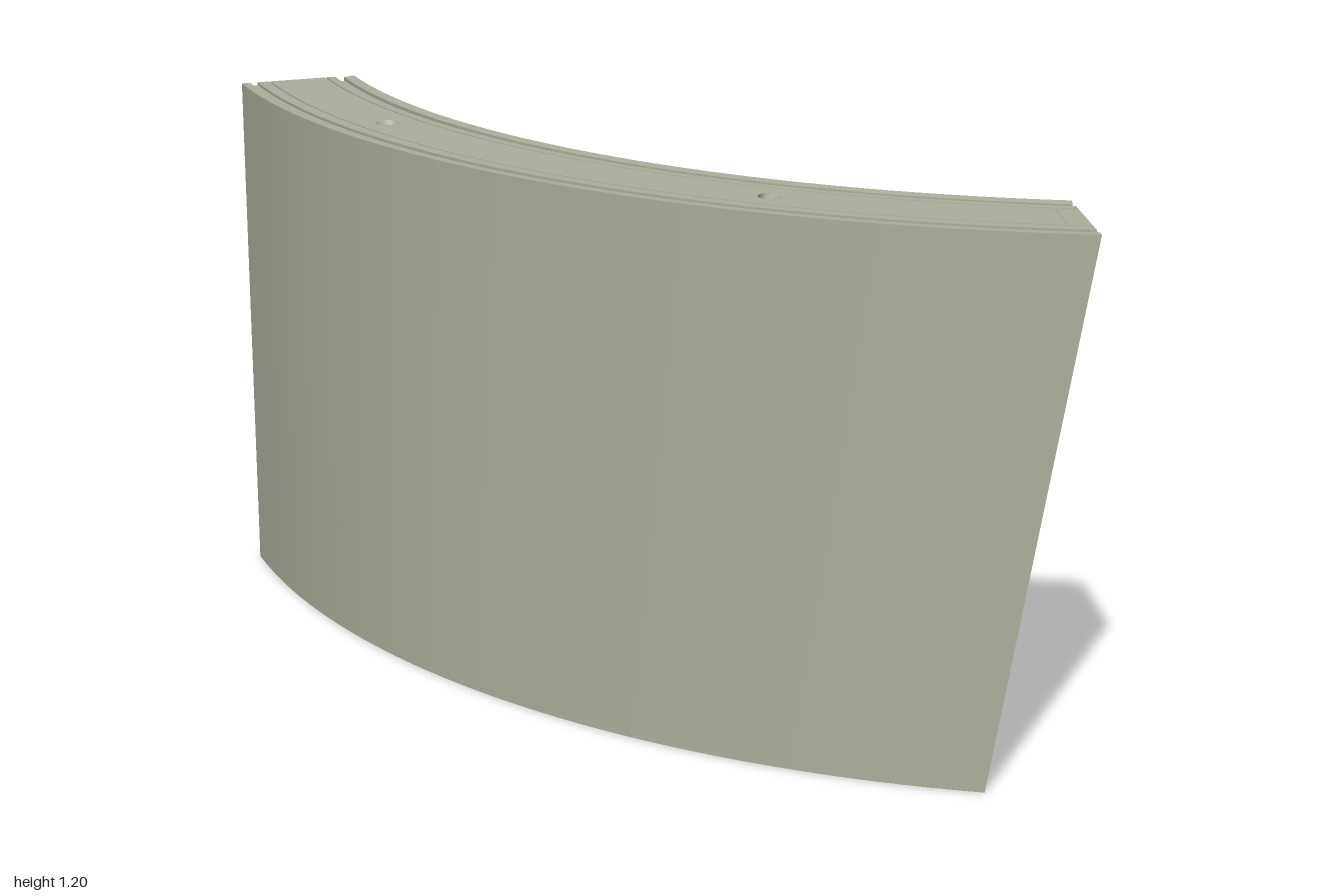
import * as THREE from 'three';
import { toCreasedNormals } from 'three/addons/utils/BufferGeometryUtils.js';

const R = 2.233, T = 0.275, H = 1.195, CX = 1.578, CZ = -1;
const lerp = THREE.MathUtils.lerp, rad = THREE.MathUtils.degToRad;

// End angle of the arc: the far end is slanted in height and skewed through the thickness
const endAngle = (y, w) => rad(lerp(
  lerp(58.46, 63.3, y / H), lerp(56.07, 61.72, y / H), w / T));

// Point at arc fraction u, height y, distance w in from the outer skin, shifted along the arc
function at(u, y, w, shift = 0) {
  const r = R - w, t = u * endAngle(y, w) + shift / r;
  return new THREE.Vector3(CX - r * Math.cos(t), y, CZ + r * Math.sin(t));
}

// Each face maps (a, b, depth into the concrete) to a point
const maps = {
  outerFace: (a, y, d) => at(a, y, d),
  innerFace: (a, y, d) => at(a, y, T - d),
  topFace: (a, w, d) => at(a, H - d, w, d * (1 - 2 * a)),
  bottomFace: (a, w, d) => at(a, d, w, d * (1 - 2 * a)),
  backEnd: (a, w, d) => at(0, d + a * (H - 2 * d), w, d),
  slantedEnd: (a, w, d) => at(1, d + a * (H - 2 * d), w, -d),
};

// Collects triangles of one face, turned so that they look out of the concrete
function builder(map) {
  const o = map(0.5, 0.1, 0.02), e = 0.001;
  const du = map(0.5 + e, 0.1, 0.02).sub(o), dv = map(0.5, 0.1 + e, 0.02).sub(o);
  const flip = du.cross(dv).dot(map(0.5, 0.1, 0.02 + e).sub(o)) > 0;
  const pos = [];
  const tri = (a, b, c, out = pos) => {
    for (const p of flip ? [a, c, b] : [a, b, c]) out.push(...map(...p).toArray());
  };
  const quad = (a, b, c, d) => { tri(a, b, c); tri(a, c, d); };
  return { pos, tri, quad };
}

const STEP = 1 / 50;
function stops(u0, u1) {
  const list = [u0];
  for (let i = Math.ceil(u0 / STEP); i * STEP < u1 - 1e-4; i++)
    if (i * STEP > u0 + 1e-4) list.push(i * STEP);
  return [...list, u1];
}

// Strip along the face between two (b, depth) lines
function strip(B, b0, d0, b1, d1, u0 = 0, u1 = 1) {
  const s = stops(u0, u1);
  for (let i = 0; i + 1 < s.length; i++)
    B.quad([s[i], b0, d0], [s[i + 1], b0, d0], [s[i + 1], b1, d1], [s[i], b1, d1]);
}

// Band of a face with sunken features; a feature is a stack of rings of (u, b, depth)
function band(B, b0, b1, features, plates) {
  const m = 0.005, spans = [];
  const ranges = features.map(f => {
    const us = f.rings[0].map(p => p[0]);
    return { lo: Math.min(...us) - m, hi: Math.max(...us) + m, fs: [f] };
  }).sort((p, q) => p.lo - q.lo);
  for (const r of ranges) {
    const last = spans[spans.length - 1];
    if (last && r.lo < last.hi + 1e-3) {
      last.hi = Math.max(last.hi, r.hi);
      last.fs.push(...r.fs);
    } else spans.push(r);
  }
  let cursor = 0;
  for (const { lo, hi, fs } of spans) {
    strip(B, b0, 0, b1, 0, cursor, lo);
    cursor = hi;
    const s = stops(lo, hi), V = (u, v) => new THREE.Vector2(u, v);
    const contour = [...s.map(u => V(u, b0)), ...s.slice().reverse().map(u => V(u, b1))];
    const holes = fs.map(f => f.rings[0].map(p => V(p[0], p[1])));
    const all = [...contour, ...holes.flat()];
    for (const t of THREE.ShapeUtils.triangulateShape(contour, holes)) {
      const q = t.map(i => all[i]);
      if (THREE.ShapeUtils.area(q) < 0) q.reverse();
      B.tri(...q.map(p => [p.x, p.y, 0]));
    }
    for (const f of fs) {
      const n = f.rings[0].length;
      for (let k = 0; k + 1 < f.rings.length; k++)
        for (let i = 0; i < n; i++) {
          const j = (i + 1) % n, A = f.rings[k], C = f.rings[k + 1];
          B.quad(A[i], A[j], C[j], C[i]);
        }
      const floor = f.rings[f.rings.length - 1];
      for (let i = 1; i + 1 < n; i++) B.tri(floor[0], floor[i], floor[i + 1], f.plate ? plates : B.pos);
    }
  }
  strip(B, b0, 0, b1, 0, cursor, 1);
}

// Round hole; levels are [scale, depth]
const disc = (u, v, ru, rv, levels, n = 16) => ({
  rings: levels.map(([s, d]) => Array.from({ length: n }, (_, i) => {
    const t = i / n * Math.PI * 2;
    return [u + Math.cos(t) * ru * s, v + Math.sin(t) * rv * s, d];
  })),
});
const rect = (u0, u1, v0, v1, d) => [[u0, v0, d], [u1, v0, d], [u1, v1, d], [u0, v1, d]];
const slot = (u0, u1, v0, v1, d) => ({ rings: [rect(u0, u1, v0, v1, 0), rect(u0, u1, v0, v1, d)] });

// Inner-face features, placed by z and y
const rIn = R - T;
const uAt = (z, y) => Math.asin((z - CZ) / rIn) / endAngle(y, T);
const innerHole = (z, y, r, levels) =>
  disc(uAt(z, y), y, r / rIn / endAngle(y, T), r, levels);
const small = (z, y) => innerHole(z, y, 0.02, [[1, 0], [0.6, 0.012], [0.6, 0.06]]);
const dot = (z, y, r = 0.009) => innerHole(z, y, r, [[1, 0], [1, 0.02]]);
const cone = (z, y) => innerHole(z, y, 0.052, [[1, 0], [0.55, 0.09], [0.55, 0.2]]);
function recess(z0, z1, y0, y1) {
  const f = slot(uAt(z0, y0), uAt(z1, y0), y0, y1, 0.028);
  return { ...f, plate: true };
}
// Wedge pocket: ramps from a shallow tip to a deep wall facing the nearest end
function wedge(tip, deep, y) {
  const t = uAt(tip, y), e = uAt(deep, y), h0 = 0.036, h1 = 0.052;
  const ring = (dt, de) => {
    const p = [[t, y - h0, dt], [e, y - h1, de], [e, y + h1, de], [t, y + h0, dt]];
    return t < e ? p : p.reverse();
  };
  return { rings: [ring(0, 0), ring(0.002, 0.1)] };
}

// Edge profile (distance from outer skin, depth) on both sides of the middle panel
const OUTER_EDGE = [[0, 0], [0.02, 0], [0.02, 0.006], [0.038, 0.006], [0.038, 0],
  [0.066, 0], [0.066, 0.005], [0.07, 0.005], [0.07, 0]];
const INNER_EDGE = [[0.203, 0], [0.203, 0.005], [0.207, 0.005], [0.207, 0], [0.228, 0],
  [0.228, 0.01], [0.25, 0.01], [0.25, 0.002], [0.275, 0]];

export function createModel() {
  const group = new THREE.Group();
  const concrete = new THREE.MeshStandardMaterial({ color: 0xacae9c });
  const grey = new THREE.MeshStandardMaterial({ color: 0xcccccc });
  const plates = [];
  const add = (name, pos, material) => {
    const g = new THREE.BufferGeometry();
    g.setAttribute('position', new THREE.Float32BufferAttribute(pos, 3));
    const mesh = new THREE.Mesh(toCreasedNormals(g, 0.5), material);
    mesh.name = name;
    group.add(mesh);
  };

  // Plain curved outer skin
  const outer = builder(maps.outerFace);
  strip(outer, 0, 0, H, 0);
  add('outerFace', outer.pos, concrete);

  // Inner face in three height bands with pockets, holes and recessed plates
  const inner = builder(maps.innerFace);
  band(inner, 0, 0.41, [small(0.38, 0.16), recess(0.465, 0.535, 0.14, 0.26),
    wedge(0.48, 0.6, 0.34), wedge(-0.66, -0.85, 0.3), dot(-0.02, 0.025, 0.006)], plates);
  band(inner, 0.41, 0.85, [cone(0.22, 0.6), cone(-0.28, 0.6), small(0.38, 0.72), small(0.38, 0.48),
    small(-0.48, 0.76), small(-0.48, 0.44), dot(0.56, 0.6), dot(-0.02, 0.6), dot(-0.745, 0.6)], plates);
  band(inner, 0.85, H, [small(0.38, 1.04), small(-0.02, 1.04), recess(-0.72, -0.6, 0.94, 1.06),
    wedge(0.55, 0.65, 0.93), ...[0.26, -0.02, -0.33].map(z => dot(z, 1.165, 0.006))], plates);
  add('innerFace', inner.pos, concrete);
  add('recessPlates', plates, grey);

  // Four edge faces: grooved margins around a panel with bolt holes
  const bolt = (u, length) => disc(u, 0.135, 0.026 / length, 0.026,
    [[1, 0], [0.65, 0.02], [0.65, 0.12]]);
  const guide = {
    rings: [[[0.71, 0.105, 0], [0.78, 0.105, 0], [0.765, 0.17, 0], [0.725, 0.17, 0]],
      [[0.715, 0.11, 0.02], [0.775, 0.11, 0.02], [0.76, 0.165, 0.09], [0.73, 0.165, 0.09]]],
  };
  const edges = {
    topFace: [bolt(0.237, 2.28), bolt(0.717, 2.28)],
    bottomFace: [bolt(0.26, 2.1), bolt(0.784, 2.1)],
    backEnd: [bolt(0.25, H), guide],
    slantedEnd: [bolt(0.26, H), bolt(0.757, H)],
  };
  for (const [name, features] of Object.entries(edges)) {
    const B = builder(maps[name]);
    for (const line of [OUTER_EDGE, INNER_EDGE])
      for (let i = 0; i + 1 < line.length; i++) strip(B, ...line[i], ...line[i + 1]);
    const closing = [0.02, 0.978].map(u => slot(u, u + 0.002, 0.078, 0.195, 0.005));
    band(B, 0.07, 0.203, [...features, ...closing], plates);
    add(name, B.pos, concrete);
  }
  return group;
}
